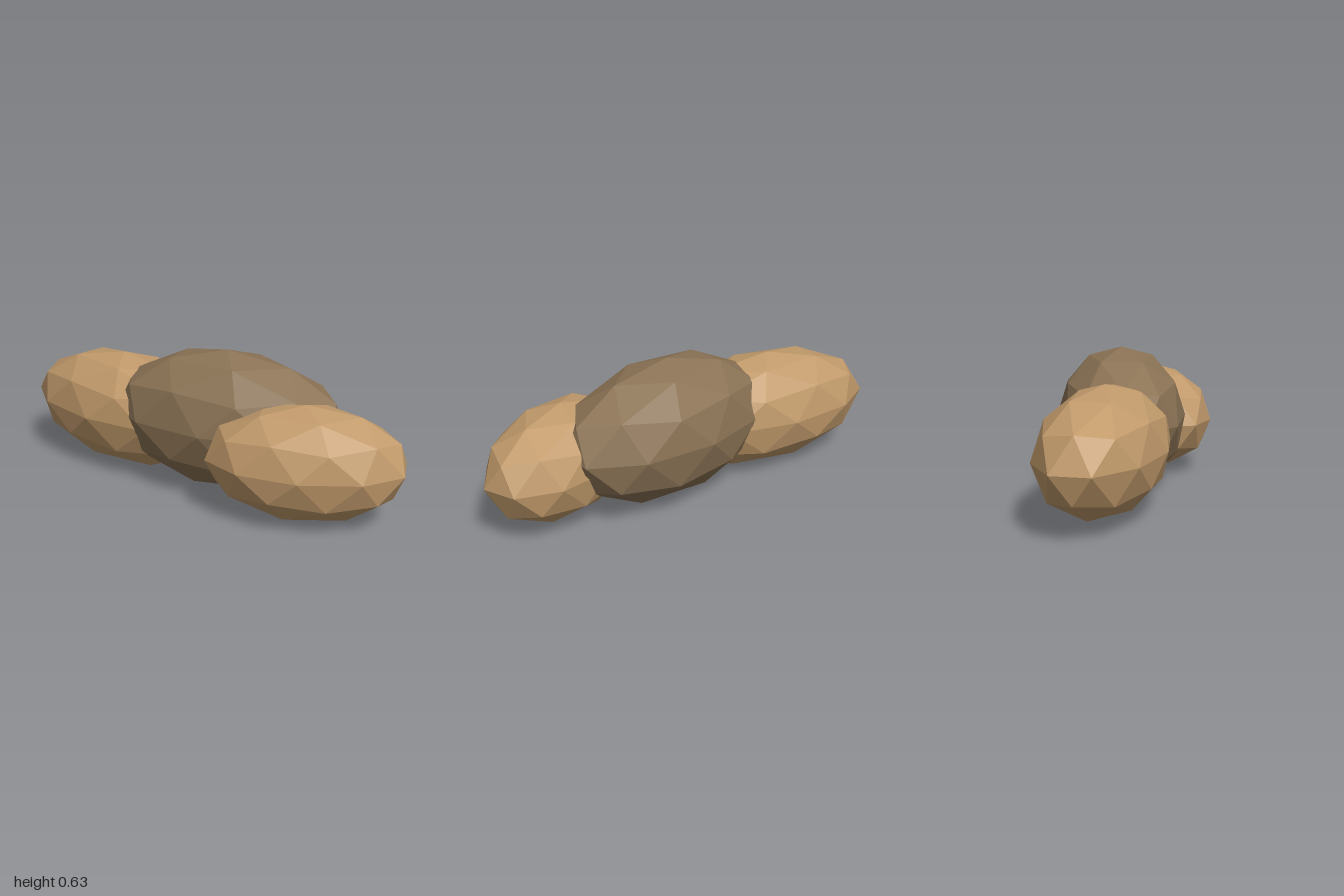
import * as THREE from 'three';

const paleStone = new THREE.MeshStandardMaterial({ color: 0xc19a6b, flatShading: true });
paleStone.name = 'paleStone';
const darkStone = new THREE.MeshStandardMaterial({ color: 0x8b7355, flatShading: true });
darkStone.name = 'darkStone';

// Low-poly ellipsoid boulder resting on the ground, with a vertex at its top.
function boulder(name, material, [x, z], [rx, ry, rz], yaw) {
  const geometry = new THREE.IcosahedronGeometry(1, 1);
  geometry.rotateZ(-Math.atan(2 / (1 + Math.sqrt(5)))); // stand it on a vertex
  geometry.scale(rx, ry, rz);
  geometry.computeVertexNormals();
  const mesh = new THREE.Mesh(geometry, material);
  mesh.name = name;
  mesh.position.set(x, ry, z);
  mesh.rotation.y = yaw;
  return mesh;
}

export function createModel() {
  const group = new THREE.Group();
  group.name = 'boulderCluster';
  group.add(
    boulder('rightBoulder', paleStone, [-0.47, 0.035], [0.557, 0.2675, 0.265], 0),
    boulder('middleBoulder', darkStone, [0.11, -0.03], [0.572, 0.3175, 0.298], 0.24),
    boulder('leftBoulder', paleStone, [0.59, 0.04], [0.435, 0.251, 0.255], 0.48),
  );
  return group;
}
